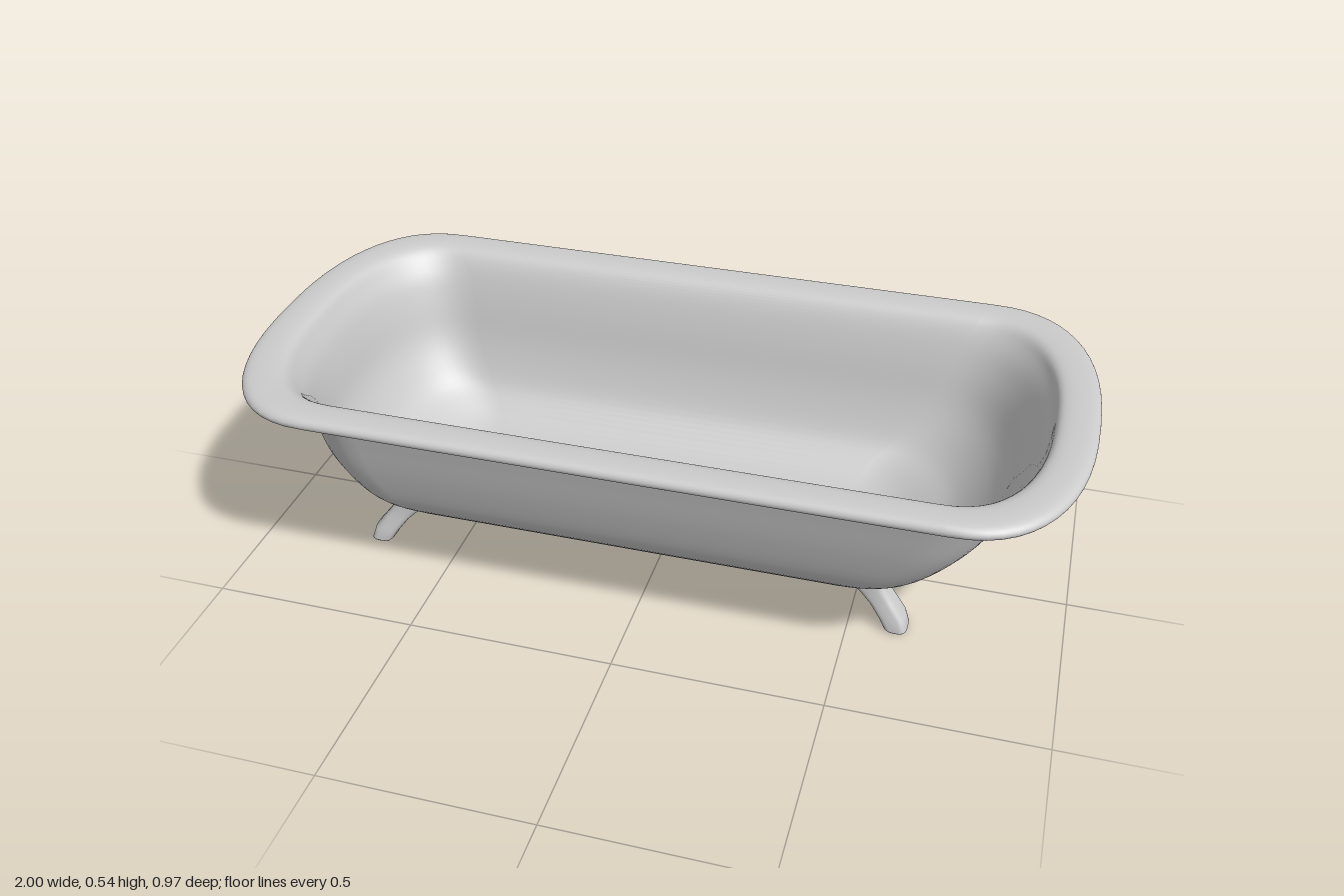
import * as THREE from 'three';

const material = new THREE.MeshStandardMaterial({ color: 0xcccccc });

// Skin a list of closed rings (arrays of Vector3) with smooth normals.
function loft(rings) {
  const n = rings[0].length;
  const index = [];
  for (let i = 0; i < rings.length - 1; i++) {
    for (let j = 0; j < n; j++) {
      const k = (j + 1) % n;
      const a = i * n + j, b = a + n, c = i * n + k, d = c + n;
      index.push(a, b, c, b, d, c);
    }
  }
  const geometry = new THREE.BufferGeometry().setFromPoints(rings.flat());
  geometry.setIndex(index);
  geometry.computeVertexNormals();
  return geometry;
}

function addMesh(parent, name, geometry) {
  const mesh = new THREE.Mesh(geometry, material);
  mesh.name = name;
  parent.add(mesh);
  return mesh;
}

const power = (v, e) => Math.sign(v) * Math.abs(v) ** e;

// Horizontal outline: straight sides closed by two superelliptical ends.
function tubRing(y, xLeft, xRight, halfZ, cap) {
  const points = [], steps = 28, e = 2 / 2.4;
  for (const side of [1, -1]) {
    for (let i = 0; i <= steps; i++) {
      const t = (i / steps - 0.5) * Math.PI;
      const end = side > 0 ? xRight - cap : xLeft + cap;
      points.push(new THREE.Vector3(
        end + side * cap * power(Math.max(Math.cos(t), 0), e), y,
        side * halfZ * power(Math.sin(t), e)));
    }
  }
  return points;
}

// Each row: height, left end, right end, half width, length of the rounded ends.
const outerWall = [
  [0.085, -0.53, 0.43, 0, 0.02],
  [0.09, -0.58, 0.48, 0.1, 0.06],
  [0.11, -0.645, 0.57, 0.2, 0.12],
  [0.15, -0.725, 0.655, 0.26, 0.17],
  [0.2, -0.785, 0.73, 0.3, 0.19],
  [0.3, -0.84, 0.81, 0.335, 0.2],
  [0.4, -0.865, 0.86, 0.36, 0.21],
  [0.45, -0.88, 0.885, 0.373, 0.22],
  [0.49, -0.905, 0.912, 0.39, 0.22],
];
const rim = [
  [0.502, -0.93, 0.935, 0.41, 0.23],
  [0.503, -0.97, 0.972, 0.455, 0.26],
  [0.506, -0.995, 0.995, 0.479, 0.28],
  [0.518, -1, 1, 0.485, 0.28],
  [0.53, -0.992, 0.992, 0.477, 0.28],
  [0.535, -0.968, 0.968, 0.457, 0.265],
  [0.534, -0.93, 0.93, 0.42, 0.24],
  [0.525, -0.905, 0.907, 0.397, 0.22],
];
const innerWall = [
  [0.5, -0.888, 0.895, 0.378, 0.22],
  [0.46, -0.867, 0.872, 0.361, 0.22],
  [0.4, -0.848, 0.842, 0.343, 0.21],
  [0.3, -0.822, 0.793, 0.318, 0.2],
  [0.21, -0.768, 0.713, 0.282, 0.19],
  [0.165, -0.71, 0.64, 0.243, 0.17],
  [0.128, -0.632, 0.56, 0.185, 0.12],
  [0.108, -0.565, 0.47, 0.09, 0.06],
  [0.104, -0.52, 0.42, 0, 0.02],
];

// Smooth the rows with two parallel splines, then skin them.
function tubGeometry() {
  const rows = [...outerWall, ...rim, ...innerWall];
  const spline = (pick) => new THREE.CatmullRomCurve3(
    rows.map((r) => new THREE.Vector3(...pick(r))), false, 'catmullrom', 0.5);
  const ends = spline((r) => [r[0], r[1], r[2]]);
  const widths = spline((r) => [r[3], r[4], 0]);
  const rings = [], count = (rows.length - 1) * 4;
  for (let i = 0; i <= count; i++) {
    const a = ends.getPoint(i / count), b = widths.getPoint(i / count);
    rings.push(tubRing(a.x, a.y, a.z, Math.max(b.x, 0), b.y));
  }
  return loft(rings);
}

// Foot sections, ground up: inner x, inner y, outer x, outer y, centre z, half width.
const footSections = [
  [0.592, 0, 0.638, 0, 0.19, 0.032],
  [0.586, 0.006, 0.642, 0.005, 0.19, 0.036],
  [0.571, 0.03, 0.632, 0.036, 0.186, 0.034],
  [0.544, 0.065, 0.603, 0.072, 0.178, 0.032],
  [0.518, 0.09, 0.583, 0.1, 0.173, 0.032],
  [0.492, 0.11, 0.572, 0.125, 0.171, 0.033],
];

function footGeometry(sx, sz) {
  const shift = sx < 0 ? 0.09 : 0;
  const ring = ([xi, yi, xo, yo, zc, hz], size = 1) => {
    const points = [], n = 28;
    for (let j = 0; j < n; j++) {
      const t = sx * sz * (j / n) * Math.PI * 2;
      const u = 0.5 + 0.5 * size * power(Math.cos(t), 0.55);
      points.push(new THREE.Vector3(
        sx * (shift + xi + (xo - xi) * u),
        yi + (yo - yi) * u,
        sz * (zc + size * hz * power(Math.sin(t), 0.55)) - 0.003));
    }
    return points;
  };
  const first = footSections[0], last = footSections[footSections.length - 1];
  // Repeated end rings keep the sole and top edges crisp.
  return loft([ring(first, 0), ring(first),
    ...footSections.map((s) => ring(s)), ring(last), ring(last, 0)]);
}

export function createModel() {
  const model = new THREE.Group();
  model.name = 'bathtub';

  addMesh(model, 'tub', tubGeometry());

  // Four splayed feet
  for (const sx of [1, -1]) {
    for (const sz of [1, -1]) {
      addMesh(model, `${sx > 0 ? 'left' : 'right'}${sz > 0 ? 'Front' : 'Back'}Foot`,
        footGeometry(sx, sz));
    }
  }

  // Drain: flat plate, raised ring and a cross
  const drain = new THREE.Group();
  drain.name = 'drain';
  drain.position.set(-0.575, 0.112, -0.003);
  addMesh(drain, 'drainPlate', new THREE.CylinderGeometry(0.04, 0.04, 0.004, 32));
  const ring = addMesh(drain, 'drainRing', new THREE.TorusGeometry(0.037, 0.006, 10, 36));
  ring.rotation.x = Math.PI / 2;
  for (const s of [1, -1]) {
    const bar = addMesh(drain, 'drainBar', new THREE.BoxGeometry(0.07, 0.006, 0.008));
    bar.position.y = 0.002;
    bar.rotation.y = s * Math.PI / 4;
  }
  model.add(drain);

  return model;
}
